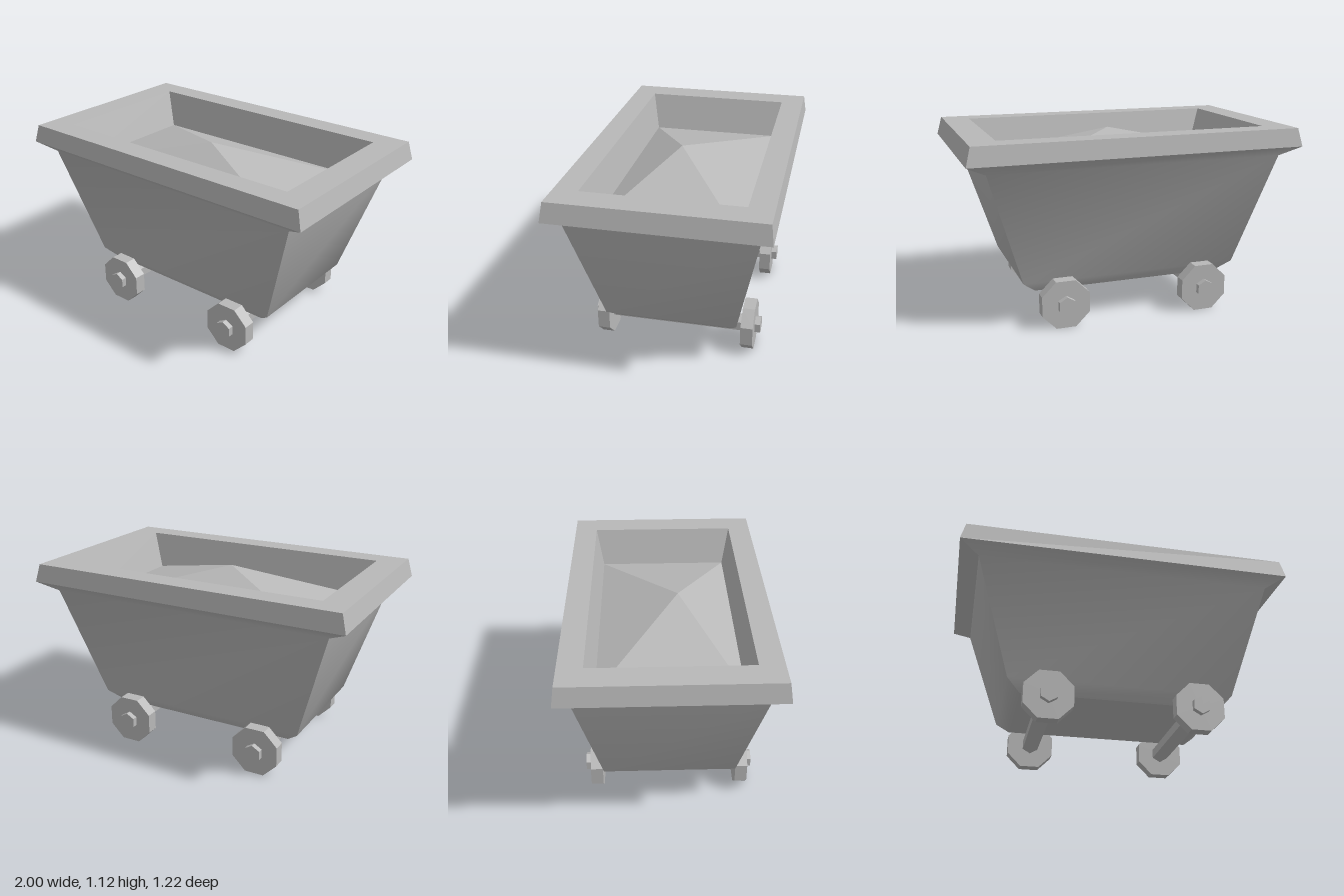
import * as THREE from 'three';
import { toCreasedNormals } from 'three/addons/utils/BufferGeometryUtils.js';

// Four corners of a rectangle [halfX, y, halfZ], counterclockwise from above
const corners = ([hx, y, hz]) => [[-hx, y, -hz], [-hx, y, hz], [hx, y, hz], [hx, y, -hz]];

function fromTriangles(points) {
  const geometry = new THREE.BufferGeometry();
  geometry.setAttribute('position', new THREE.Float32BufferAttribute(points.flat(), 3));
  geometry.computeVertexNormals();
  return geometry;
}

// Walls through a stack of rectangles, optionally closed underneath
function rectLoft(sections, closeBottom) {
  const rings = sections.map(corners);
  const points = [];
  for (let i = 0; i < rings.length - 1; i++) {
    for (let k = 0; k < 4; k++) {
      const n = (k + 1) % 4;
      const a = rings[i][k], b = rings[i][n], c = rings[i + 1][n], d = rings[i + 1][k];
      points.push(a, b, c, a, c, d);
    }
  }
  if (closeBottom) {
    const [a, b, c, d] = rings[0];
    points.push(a, d, c, a, c, b);
  }
  return toCreasedNormals(fromTriangles(points), THREE.MathUtils.degToRad(42));
}

// Low mound rising from a rectangle to one apex
function mound(section, apex) {
  const ring = corners(section);
  const points = [];
  for (let k = 0; k < 4; k++) points.push(ring[k], ring[(k + 1) % 4], apex);
  return fromTriangles(points);
}

// Faceted disc or bar lying along z
function zPrism(radius, length, sides, turn) {
  const geometry = new THREE.CylinderGeometry(radius, radius, length, sides);
  geometry.rotateY(turn);
  geometry.rotateX(Math.PI / 2);
  return toCreasedNormals(geometry, 0.3);
}

export function createModel() {
  const model = new THREE.Group();
  model.name = 'mineCart';
  const grey = new THREE.MeshStandardMaterial({ color: 0xb8b8b8 });
  grey.name = 'grey';

  const add = (name, geometry, x = 0, y = 0, z = 0) => {
    const mesh = new THREE.Mesh(geometry, grey);
    mesh.name = name;
    mesh.position.set(x, y, z);
    model.add(mesh);
  };

  // Tapered tub with a chamfered bottom and a flare under the rim
  const rimEdge = [1, 1.013, 0.608];
  add('tub', rectLoft([
    [0.59, 0.197, 0.332], [0.67, 0.265, 0.39], [0.885, 0.953, 0.533], rimEdge,
  ], true));

  // Rim, its flat top and the inner walls
  const loadEdge = [0.737, 0.9, 0.408];
  add('rim', rectLoft([rimEdge, [0.972, 1.123, 0.593], [0.812, 1.123, 0.452], loadEdge], false));

  // Heaped load inside the tub
  add('load', mound(loadEdge, [0, 1.085, 0.07]));

  // Two hexagonal axles, each with a pair of octagonal wheels
  const axle = zPrism(0.055, 1.02, 6, 0);
  const wheel = zPrism(0.1435 / Math.cos(Math.PI / 8), 0.073, 8, Math.PI / 8);
  for (const x of [-0.44, 0.44]) {
    add('axle', axle, x, 0.1435, 0);
    for (const z of [-0.44, 0.44]) add('wheel', wheel, x, 0.1435, z);
  }
  return model;
}
